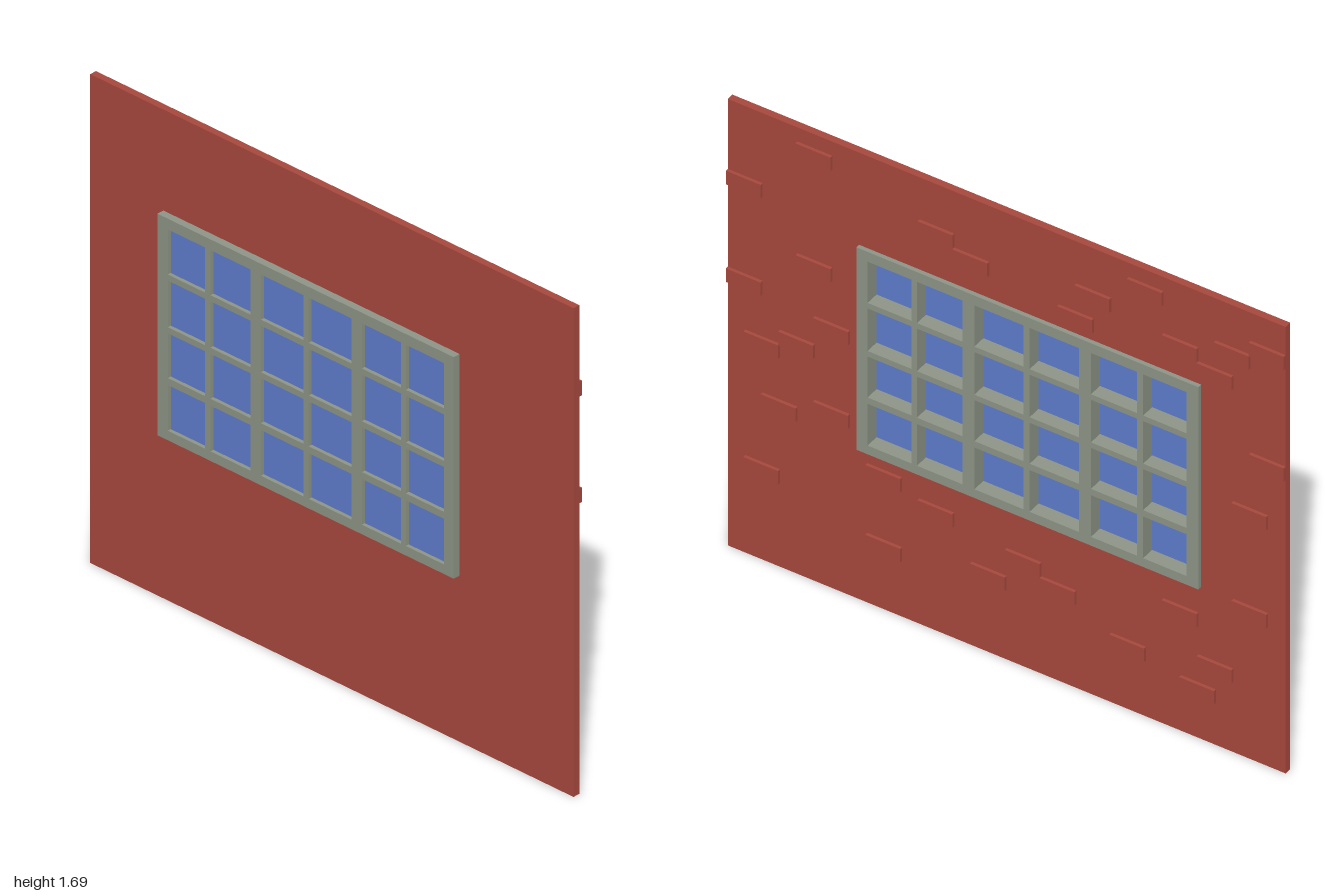
import * as THREE from 'three';

const brickRed = new THREE.MeshStandardMaterial({ color: 0xa8493e });
const frameGrey = new THREE.MeshStandardMaterial({ color: 0x8f9587 });
const glassBlue = new THREE.MeshStandardMaterial({ color: 0x5f7dcd });

const W = 2, H = 1.69, N = 32; // wall size and its brick grid
const WALL_BACK = -0.008, WALL_FACE = 0.017;

// Rectangle path in the wall plane: u runs along -z, v is height
function rect(path, u0, u1, v0, v1) {
  path.moveTo(u0, v0);
  path.lineTo(u1, v0);
  path.lineTo(u1, v1);
  path.lineTo(u0, v1);
  path.closePath();
  return path;
}

// Upright panel with rectangular holes, spanning x0 to x1 in thickness
function panel(name, outer, holes, x0, x1, material) {
  const shape = rect(new THREE.Shape(), ...outer);
  shape.holes = holes.map((h) => rect(new THREE.Path(), ...h));
  const geo = new THREE.ExtrudeGeometry(shape, { depth: x1 - x0, bevelEnabled: false });
  geo.rotateY(Math.PI / 2).translate(x0, 0, 0);
  const mesh = new THREE.Mesh(geo, material);
  mesh.name = name;
  return mesh;
}

export function createModel() {
  const model = new THREE.Group();
  model.name = 'brickWallWithWindow';

  // Wall with the window opening
  const frameOuter = [-0.529, 0.697, 0.575, 1.341];
  const opening = [-0.51, 0.68, 0.59, 1.325];
  model.add(panel('wall', [-W / 2, W / 2, 0, H], [opening], WALL_BACK, WALL_FACE, brickRed));

  // Window frame: six columns by four rows of lights
  const columns = [
    [-0.489, -0.331], [-0.312, -0.149], [-0.106, 0.071],
    [0.092, 0.269], [0.312, 0.478], [0.499, 0.654],
  ];
  const rows = [[0.608, 0.766], [0.79, 0.945], [0.966, 1.127], [1.148, 1.304]];
  const lights = [];
  for (const c of columns) for (const r of rows) lights.push([...c, ...r]);
  const win = new THREE.Group();
  win.name = 'window';
  win.add(panel('windowFrame', frameOuter, lights, -0.034, 0.032, frameGrey));

  // One glass sheet behind all the bars
  win.add(panel('glass', opening, [], -0.021, -0.017, glassBlue));
  model.add(win);

  // Raised bricks: [grid row from the top, columns from the +z end]
  const layout = [
    [1, 4, 23], [2, 30], [3, 11, 20, 28], [4, 13, 25], [5, 0, 19, 27],
    [9, 4], [10, 30], [12, 0], [13, 5], [14, 29], [15, 3], [16, 1],
    [19, 5], [20, 2], [21, 29], [22, 8], [23, 11, 25], [24, 16],
    [25, 1, 18], [26, 14, 27], [27, 8, 22], [28, 26],
  ];
  const bricks = new THREE.Group();
  bricks.name = 'raisedBricks';
  const cw = W / N, rh = H / N, proud = 0.011;
  const brickGeo = new THREE.BoxGeometry(proud, rh * 0.97, cw * 2);
  for (const [row, ...cols] of layout) {
    for (const col of cols) {
      const brick = new THREE.Mesh(brickGeo, brickRed);
      brick.name = 'brick';
      brick.position.set(WALL_FACE + proud / 2, H - (row + 0.5) * rh, W / 2 - (col + 1) * cw);
      bricks.add(brick);
    }
  }
  model.add(bricks);
  return model;
}
